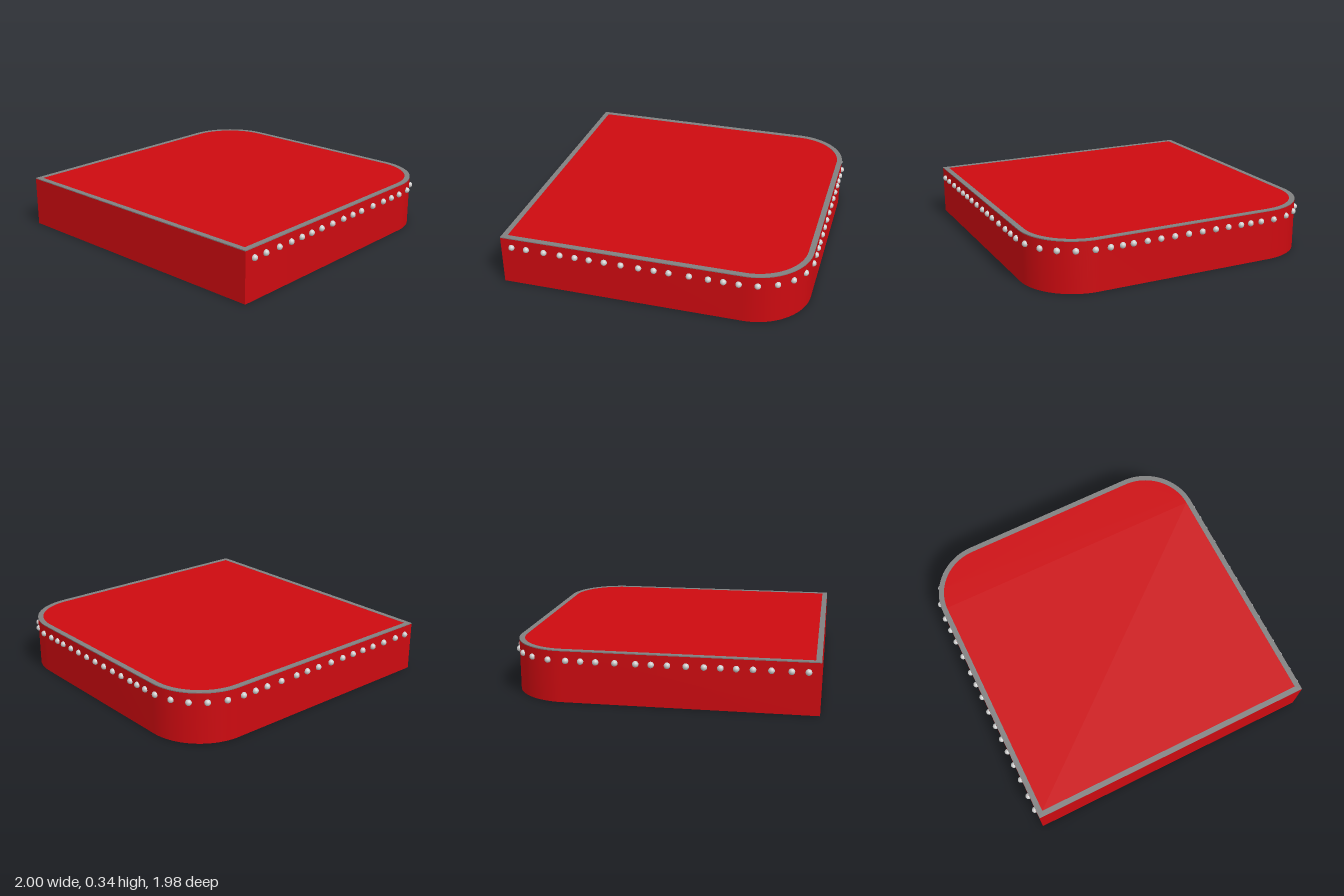
import * as THREE from 'three';
import { toCreasedNormals } from 'three/addons/utils/BufferGeometryUtils.js';

const HALF_W = 0.975, FRONT = 0.985, BACK = -0.97, RADIUS = 0.365;

// Plan outline with two rounded back corners; shape y is -z
function outline(inset, PathType = THREE.Shape) {
  const w = HALF_W - inset, f = -(FRONT - inset), b = -BACK - inset, r = RADIUS - inset;
  const p = new PathType();
  p.moveTo(-w, f);
  p.lineTo(w, f);
  p.lineTo(w, b - r);
  p.absarc(w - r, b - r, r, 0, Math.PI / 2, false);
  p.lineTo(-w + r, b);
  p.absarc(-w + r, b - r, r, Math.PI / 2, Math.PI, false);
  p.closePath();
  return p;
}

function slab(name, shape, y0, y1, material) {
  const geo = new THREE.ExtrudeGeometry(shape, { depth: y1 - y0, bevelEnabled: false, curveSegments: 20 });
  geo.rotateX(-Math.PI / 2);
  geo.translate(0, y0, 0);
  const mesh = new THREE.Mesh(toCreasedNormals(geo, 0.5), material);
  mesh.name = name;
  return mesh;
}

export function createModel() {
  const group = new THREE.Group();
  group.name = 'seatCushion';
  const red = new THREE.MeshStandardMaterial({ color: 0xcc0a10 });
  const trim = new THREE.MeshStandardMaterial({ color: 0x808080 });
  const metal = new THREE.MeshStandardMaterial({ color: 0xcccccc });

  // Cushion body, top panel and the trim between them
  const rim = outline(0);
  rim.holes.push(outline(0.036, THREE.Path));
  group.add(
    slab('cushionBody', outline(0), 0, 0.329, red),
    slab('topPanel', outline(0.036), 0.329, 0.334, red),
    slab('topTrim', rim, 0.329, 0.335, trim),
  );

  // Stud positions [x, z] on the left half: side, corner, back
  const side = [0.91, 0.81, 0.69, 0.58, 0.48, 0.385, 0.285, 0.175, 0.06, -0.04, -0.135, -0.265, -0.385, -0.48, -0.575];
  const corner = [[0.967, -0.69], [0.918, -0.803], [0.845, -0.887], [0.748, -0.943]];
  const back = [0.633, 0.535, 0.455, 0.383, 0.288, 0.195, 0.098];
  const half = [...side.map(z => [0.979, z]), ...corner, ...back.map(x => [x, -0.971])];

  // Round-headed studs, mirrored across x
  const studs = new THREE.Group();
  studs.name = 'studs';
  const ball = new THREE.SphereGeometry(0.02, 16, 12);
  const addStud = (x, z) => {
    const stud = new THREE.Mesh(ball, metal);
    stud.name = 'stud';
    stud.position.set(x, 0.27, z);
    studs.add(stud);
  };
  for (const [x, z] of half) {
    addStud(x, z);
    addStud(-x, z);
  }
  addStud(0, -0.971);
  group.add(studs);
  return group;
}
